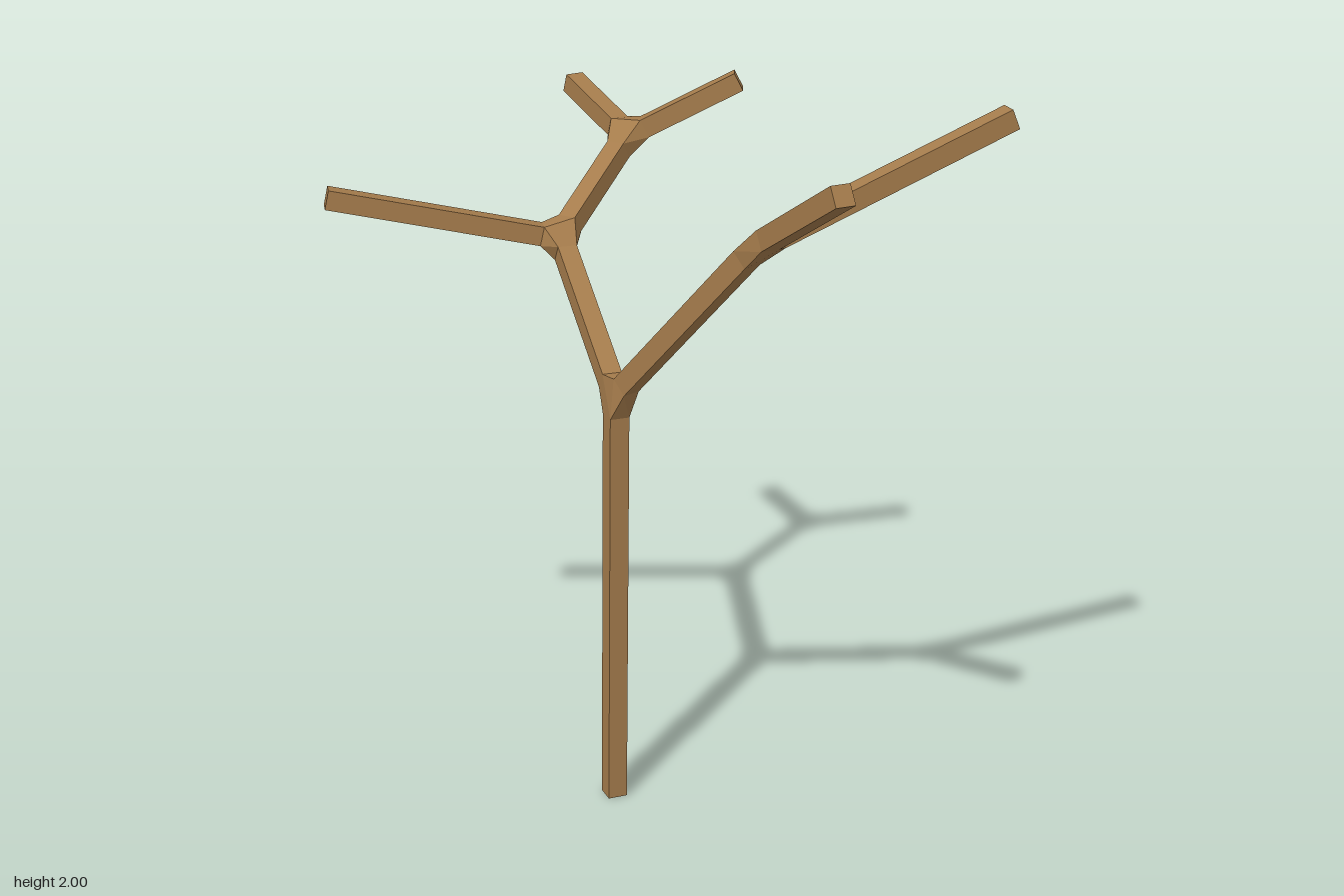
import * as THREE from 'three';
import { ConvexGeometry } from 'three/addons/geometries/ConvexGeometry.js';

const V = (x, y, z) => new THREE.Vector3(x, y, z);
const WIDTH = 0.054; // square section of every limb
const INSET = 0.055; // distance from a fork's centre to where its limbs start

// Forks and tips of the tree
const nodes = {
  base: V(-0.127, 0, 0.045),
  crotch: V(-0.12, 1.185, 0.06),
  frontFork: V(0.115, 1.7, 0.505),
  frontTip: V(0.19, 1.915, 0.875),
  sideTip: V(0.77, 1.975, 0.507),
  backFork: V(-0.148, 1.495, -0.395),
  leanTip: V(-0.778, 1.636, -0.47),
  upperFork: V(0.105, 1.715, -0.605),
  rearTip: V(0.02, 1.815, -0.88),
  upperTip: V(0.4, 1.875, -0.505),
};

// [name, from, to]
const limbs = [
  ['trunk', 'base', 'crotch'],
  ['frontBough', 'crotch', 'frontFork'],
  ['frontBranch', 'frontFork', 'frontTip'],
  ['leftBranch', 'frontFork', 'sideTip'],
  ['backBough', 'crotch', 'backFork'],
  ['rightBranch', 'backFork', 'leanTip'],
  ['upperBough', 'backFork', 'upperFork'],
  ['rearBranch', 'upperFork', 'rearTip'],
  ['upperBranch', 'upperFork', 'upperTip'],
];

// Axes of a limb: a level side, then its upper face, then its direction
function limbAxes(a, b) {
  const dir = b.clone().sub(a).normalize();
  const side = dir.y > 0.98 ? V(0.995, 0, -0.1) : V(0, 1, 0).cross(dir);
  side.addScaledVector(dir, -side.dot(dir)).normalize();
  return { side, up: dir.clone().cross(side), dir };
}

export function createModel() {
  const tree = new THREE.Group();
  tree.name = 'bareTree';
  const bark = new THREE.MeshStandardMaterial({ color: 0xa57c4c, flatShading: true });
  const add = (name, geometry) => {
    const mesh = new THREE.Mesh(geometry, bark);
    mesh.name = name;
    tree.add(mesh);
    return mesh;
  };
  const forks = { crotch: [], frontFork: [], backFork: [], upperFork: [] };

  for (const [name, from, to] of limbs) {
    const { side, up, dir } = limbAxes(nodes[from], nodes[to]);
    const start = nodes[from].clone();
    const end = nodes[to].clone();
    if (forks[from]) start.addScaledVector(dir, INSET);
    if (forks[to]) end.addScaledVector(dir, -INSET);

    // Straight square limb
    const length = start.distanceTo(end);
    const limb = add(name, new THREE.BoxGeometry(WIDTH, WIDTH, length));
    limb.quaternion.setFromRotationMatrix(new THREE.Matrix4().makeBasis(side, up, dir));
    limb.position.copy(start).lerp(end, 0.5);

    // Its end corners shape the forks it meets
    for (const [key, p] of [[from, start], [to, end]]) {
      if (!forks[key]) continue;
      for (const i of [-0.5, 0.5]) for (const j of [-0.5, 0.5]) {
        forks[key].push(p.clone().addScaledVector(side, i * WIDTH).addScaledVector(up, j * WIDTH));
      }
    }
  }

  // Faceted knuckles joining the limbs
  for (const [name, corners] of Object.entries(forks)) add(name, new ConvexGeometry(corners));
  return tree;
}
